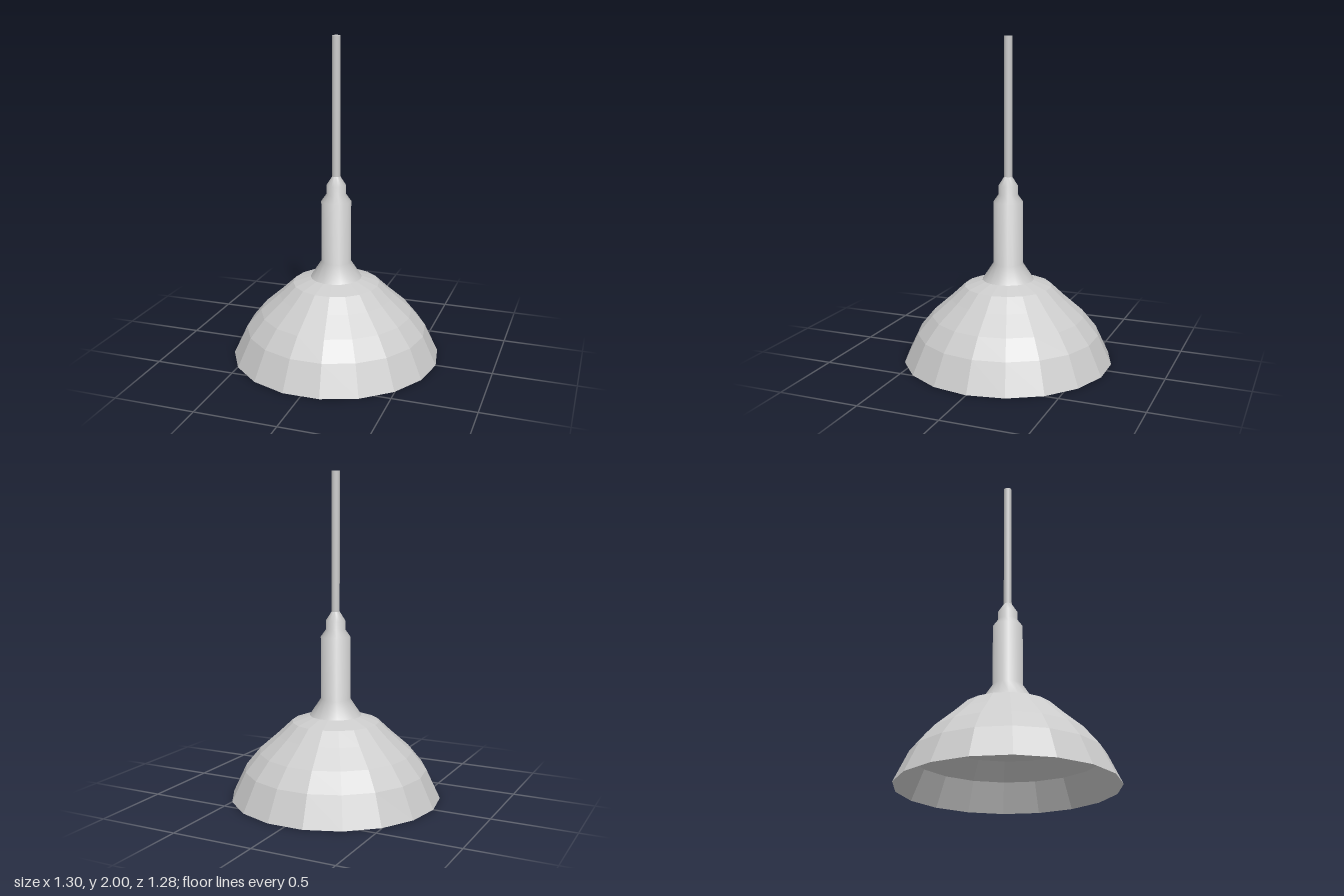
import * as THREE from 'three';
import { toCreasedNormals } from 'three/addons/utils/BufferGeometryUtils.js';

const SIDES = 18;

// Revolves [radius, height] pairs, listed from bottom to top, with a corner on the x axis.
function revolve(profile) {
  const points = profile.map(([r, y]) => new THREE.Vector2(r, y));
  return new THREE.LatheGeometry(points, SIDES, Math.PI / 2);
}

export function createModel() {
  const group = new THREE.Group();
  const add = (name, geometry, options = {}) => {
    const material = new THREE.MeshStandardMaterial({ color: 0xcccccc, ...options });
    const mesh = new THREE.Mesh(geometry, material);
    mesh.name = name;
    group.add(mesh);
  };

  // Faceted open dome
  add('shade', revolve([
    [0.65, 0], [0.565, 0.18], [0.475, 0.29], [0.355, 0.395], [0.27, 0.475], [0.16, 0.512],
  ]), { flatShading: true, side: THREE.DoubleSide });

  // Flared collar, socket sleeve and stepped neck, closed underneath
  add('socket', toCreasedNormals(revolve([
    [0, 0.512], [0.16, 0.512], [0.092, 0.615], [0.092, 1.0],
    [0.06, 1.045], [0.06, 1.1], [0.025, 1.155],
  ]), Math.PI / 3));

  // Hanging rod with a flat top
  const rod = new THREE.CylinderGeometry(0.025, 0.025, 0.845, SIDES);
  rod.translate(0, 1.155 + 0.845 / 2, 0);
  add('rod', rod);

  return group;
}
